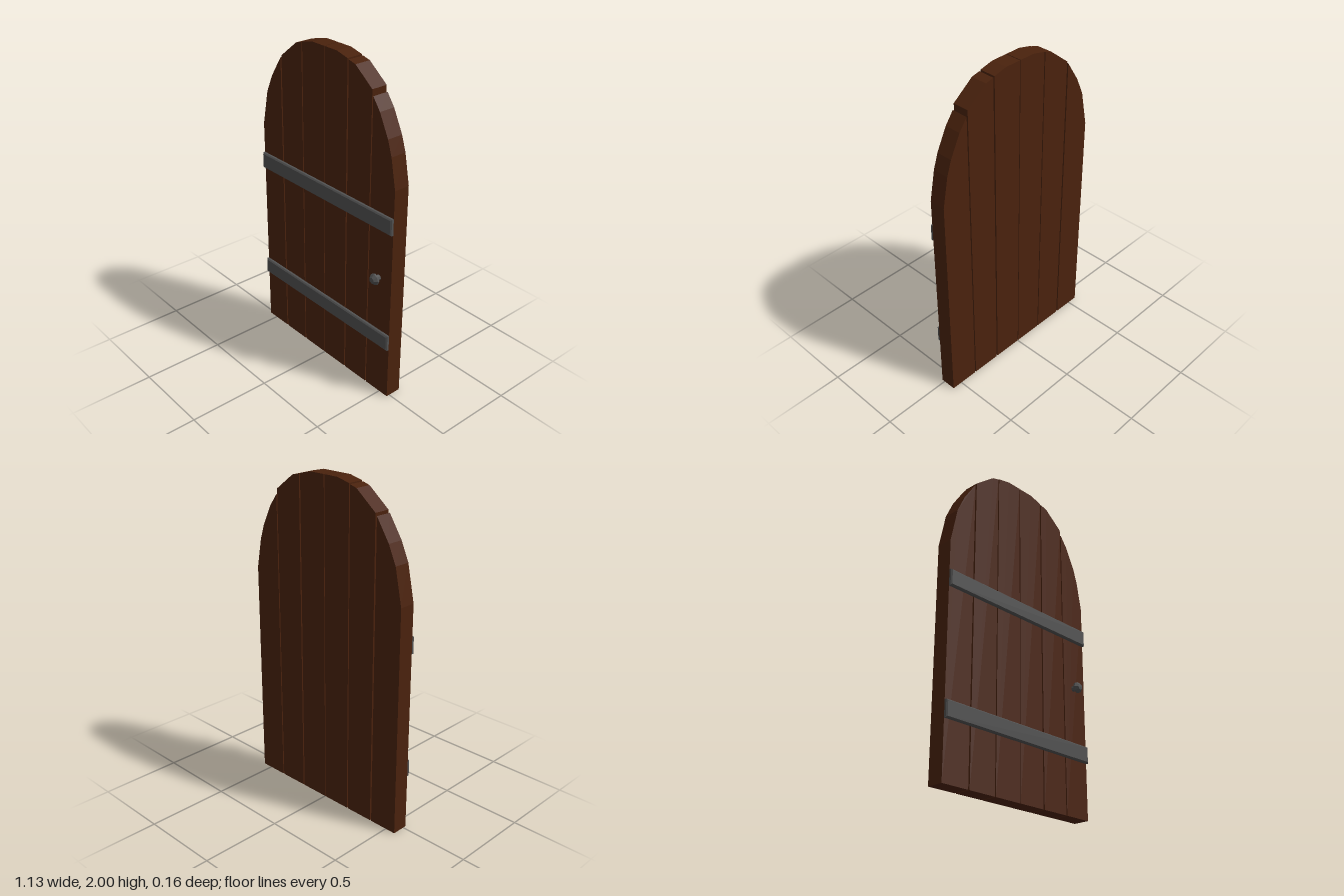
import * as THREE from 'three';

const BACK = -0.08, FRONT = 0.02;

// Each plank: left edge, right edge and the points of its cut top, right to left
const PLANKS = [
  [[-0.385, 1.84], [-0.47, 1.71], [-0.52, 1.6], [-0.565, 1.385]],
  [[-0.194, 1.975], [-0.24, 1.962], [-0.375, 1.855]],
  [[-0.005, 2], [-0.1, 2], [-0.187, 1.98]],
  [[0.184, 1.98], [0.1, 2], [0, 2]],
  [[0.375, 1.865], [0.245, 1.963], [0.193, 1.975]],
  [[0.565, 1.36], [0.53, 1.54], [0.5, 1.63], [0.435, 1.76], [0.383, 1.83]],
];

function makePlank(top, material) {
  const right = top[0][0], left = top[top.length - 1][0];
  const outline = [[left, 0], [right, 0], ...top].map(([x, y]) => new THREE.Vector2(x, y));
  const geometry = new THREE.ExtrudeGeometry(new THREE.Shape(outline), {
    depth: FRONT - BACK, bevelEnabled: false,
  });
  geometry.translate(0, 0, BACK);
  return new THREE.Mesh(geometry, material);
}

// Flat bar whose front face is drawn in to chamfer all four edges
function makeStrap(y, material) {
  const width = 1.13, height = 0.1, depth = 0.02, chamfer = 0.007;
  const geometry = new THREE.BoxGeometry(width, height, depth, 1, 1, 2);
  const p = geometry.attributes.position;
  for (let i = 0; i < p.count; i++) {
    const z = p.getZ(i);
    if (z > 0.005) {
      p.setX(i, p.getX(i) - Math.sign(p.getX(i)) * chamfer);
      p.setY(i, p.getY(i) - Math.sign(p.getY(i)) * chamfer);
    } else if (z > -0.005) {
      p.setZ(i, depth / 2 - chamfer);
    }
  }
  const flat = geometry.toNonIndexed();
  flat.computeVertexNormals();
  const mesh = new THREE.Mesh(flat, material);
  mesh.position.set(0, y, FRONT + depth / 2);
  return mesh;
}

export function createModel() {
  const wood = new THREE.MeshStandardMaterial({ color: 0x4a220d });
  wood.name = 'dark wood';
  const iron = new THREE.MeshStandardMaterial({ color: 0x505050, flatShading: true });
  iron.name = 'grey iron';

  const door = new THREE.Group();
  door.name = 'door';

  PLANKS.forEach((top, i) => {
    const plank = makePlank(top, wood);
    plank.name = `plank${i + 1}`;
    door.add(plank);
  });

  // Iron straps across the planks
  [['lowerStrap', 0.388], ['upperStrap', 1.145]].forEach(([name, y]) => {
    const strap = makeStrap(y, iron);
    strap.name = name;
    door.add(strap);
  });

  // Faceted knob on a narrow neck
  const profile = [[0, 0], [0.018, 0], [0.018, 0.02], [0.034, 0.028], [0.034, 0.038], [0.018, 0.056], [0, 0.058]]
    .map(([r, y]) => new THREE.Vector2(r, y));
  const knob = new THREE.Mesh(new THREE.LatheGeometry(profile, 8), iron);
  knob.name = 'knob';
  knob.rotation.x = Math.PI / 2;
  knob.position.set(0.466, 0.786, FRONT);
  door.add(knob);

  return door;
}
